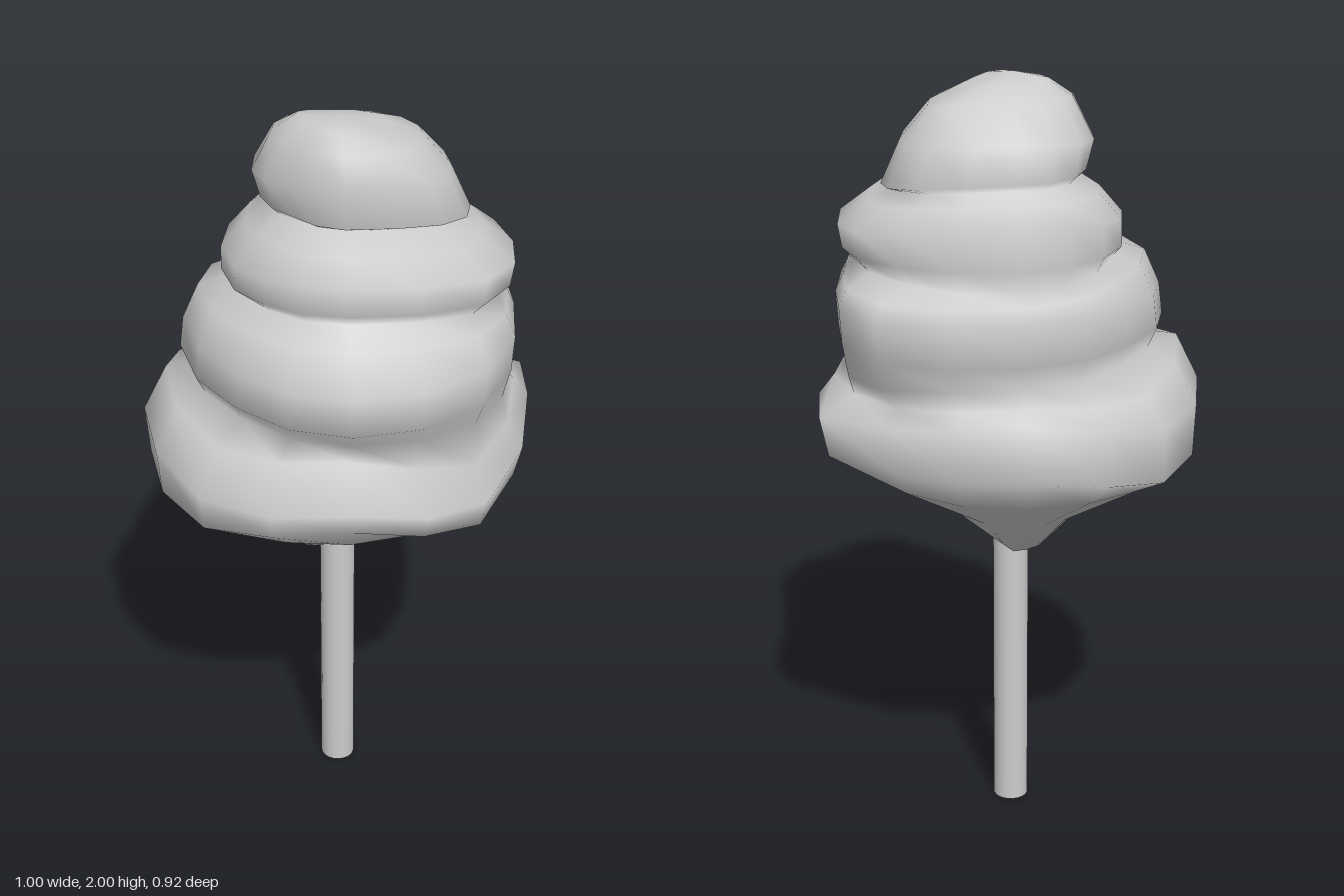
import * as THREE from 'three';

const SIDES = 16;

// Profiles from crown to base as [distance from axis, height], one per direction.
const left = [[.1, 1.99], [.16, 1.95], [.21, 1.85], [.19, 1.78], [.17, 1.76], [.23, 1.72], [.29, 1.65], [.29, 1.59], [.27, 1.575],
  [.35, 1.55], [.39, 1.46], [.4, 1.38], [.38, 1.33], [.44, 1.32], [.5, 1.2], [.49, 1.07], [.41, .98], [.18, .86], [.1, .77]];
const right = [[.1, 1.97], [.2, 1.93], [.27, 1.85], [.32, 1.74], [.28, 1.73], [.35, 1.7], [.43, 1.64], [.42, 1.58], [.39, 1.55],
  [.42, 1.51], [.44, 1.47], [.435, 1.38], [.42, 1.28], [.45, 1.25], [.49, 1.2], [.47, 1.11], [.41, 1.03], [.22, .94], [.05, .85]];
const front = [[.13, 1.99], [.18, 1.95], [.2, 1.88], [.2, 1.78], [.18, 1.77], [.28, 1.75], [.33, 1.69], [.33, 1.62], [.31, 1.59],
  [.39, 1.56], [.46, 1.47], [.455, 1.37], [.38, 1.3], [.39, 1.26], [.46, 1.15], [.44, 1.09], [.39, 1.02], [.24, .92], [.11, .83]];
const back = [[.04, 1.98], [.11, 1.95], [.2, 1.86], [.21, 1.77], [.2, 1.755], [.26, 1.73], [.29, 1.69], [.3, 1.58], [.29, 1.52],
  [.33, 1.5], [.355, 1.47], [.36, 1.36], [.31, 1.29], [.37, 1.26], [.42, 1.23], [.46, 1.1], [.37, 1], [.2, .88], [.1, .77]];

// Each coil is uneven at its corners: front left, front right and so on, by quadrant
// from +x+z round to +x-z. "swell" scales the width, "sag" lowers the rim.
const coils = [
  { last: 4, swell: [.04, -.14, .07, .09], sag: [0, 0, 0, 0] },
  { last: 8, swell: [.09, -.05, 0, 0], sag: [0, 0, 0, 0] },
  { last: 12, swell: [.05, -.05, -.06, .16], sag: [0, 0, 0, 0] },
  { last: 15, swell: [0, .03, 0, -.04], sag: [.09, .04, .05, .02] },
  { last: 18, swell: [0, 0, 0, 0], sag: [0, 0, 0, 0] },
];

// Lofts the four profiles into closed rings, blending them around the axis.
function swirlGeometry() {
  const rings = left.length;
  const pos = [];
  const index = [];
  for (let k = 0; k < rings; k++) {
    const coil = coils.find((c) => k <= c.last);
    for (let i = 0; i < SIDES; i++) {
      const t = (i / SIDES) * Math.PI * 2;
      const c = Math.cos(t), s = Math.sin(t);
      const px = (c >= 0 ? right : left)[k];
      const pz = (s >= 0 ? front : back)[k];
      const quadrant = Math.floor((4 * i) / SIDES);
      const corner = Math.sin(2 * t) ** 2;
      let swell = 1 + coil.swell[quadrant] * corner;
      // loose end of the lowest coil sticks out
      if (i === SIDES - 1 && (k === 14 || k === 15)) swell += 0.12;
      pos.push(px[0] * c * swell, px[1] * c * c + pz[1] * s * s - coil.sag[quadrant] * corner, pz[0] * s * swell);
    }
  }
  const at = (k, i) => k * SIDES + (i % SIDES);
  const top = rings * SIDES, bottom = top + 1;
  pos.push(-0.02, 2, 0.05, 0, 0.84, -0.01);
  for (let i = 0; i < SIDES; i++) {
    index.push(top, at(0, i + 1), at(0, i));
    for (let k = 0; k < rings - 1; k++) {
      const a = at(k, i), b = at(k, i + 1), c = at(k + 1, i), d = at(k + 1, i + 1);
      index.push(a, b, c, b, d, c);
    }
    index.push(bottom, at(rings - 1, i), at(rings - 1, i + 1));
  }
  const geo = new THREE.BufferGeometry();
  geo.setAttribute('position', new THREE.Float32BufferAttribute(pos, 3));
  geo.setIndex(index);
  geo.computeVertexNormals();
  return geo;
}

export function createModel() {
  const group = new THREE.Group();
  group.name = 'cottonCandy';
  const grey = new THREE.MeshStandardMaterial({ color: 0xcccccc });
  grey.name = 'light grey';

  // Fluffy coiled sugar
  const swirl = new THREE.Mesh(swirlGeometry(), grey);
  swirl.name = 'candySwirl';

  // Round stick, its top hidden inside the candy
  const stick = new THREE.Mesh(new THREE.CylinderGeometry(0.047, 0.047, 0.95, 20), grey);
  stick.name = 'stick';
  stick.position.set(-0.003, 0.475, -0.019);

  group.add(swirl, stick);
  return group;
}
